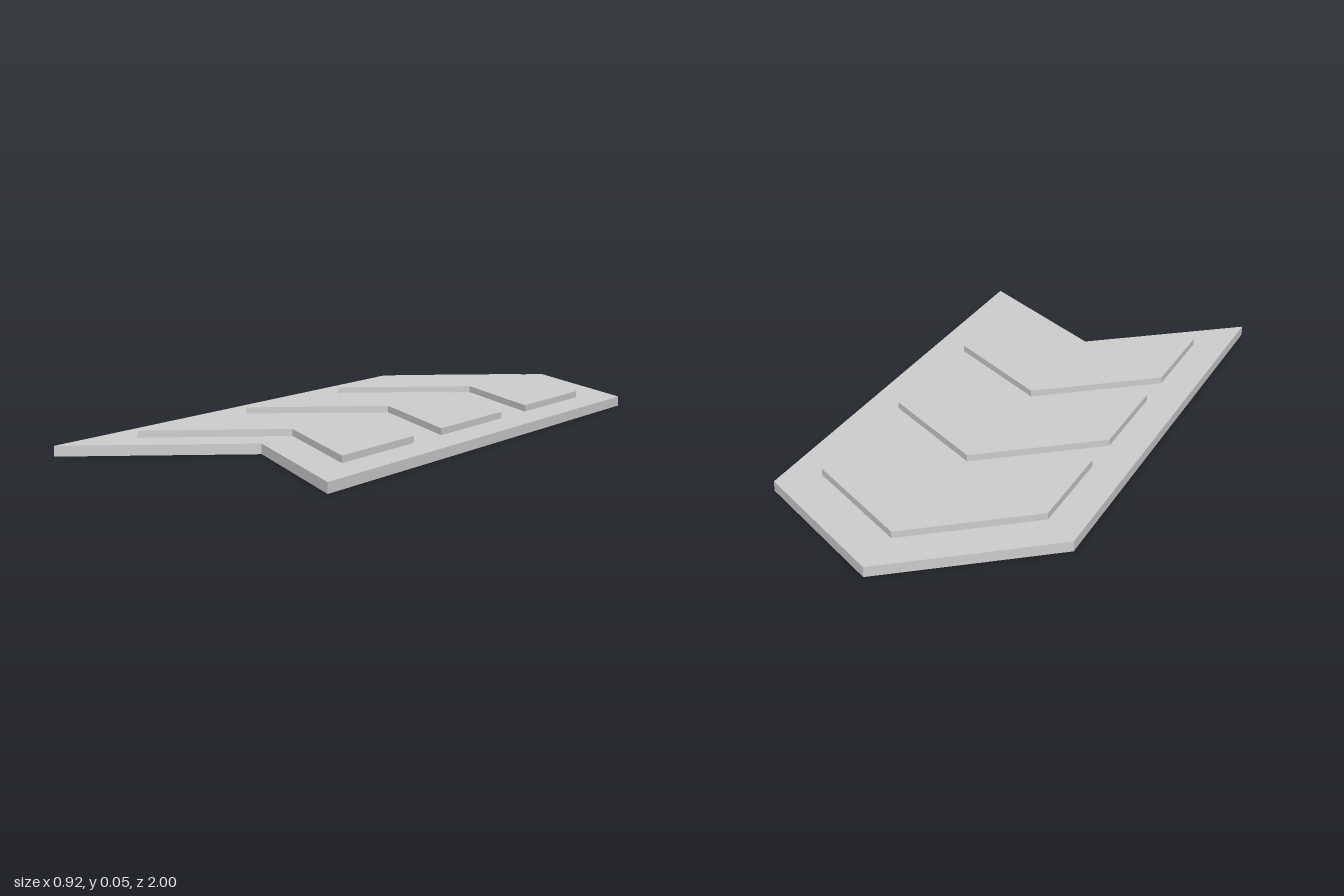
import * as THREE from 'three';

const material = new THREE.MeshStandardMaterial({ color: 0xcccccc, flatShading: true });

// Flat arrow slab pointing to -z: tip, shoulder, tail corners and tail notch along z
function chevron(name, halfWidth, tip, shoulder, tail, notch, height) {
  const outline = new THREE.Shape([
    [0, -tip], [-halfWidth, -shoulder], [-halfWidth, -tail],
    [0, -notch], [halfWidth, -tail], [halfWidth, -shoulder],
  ].map(([x, y]) => new THREE.Vector2(x, y)));
  const geometry = new THREE.ExtrudeGeometry(outline, { depth: height, bevelEnabled: false });
  geometry.rotateX(-Math.PI / 2); // shape y becomes -z, depth becomes y
  const mesh = new THREE.Mesh(geometry, material);
  mesh.name = name;
  return mesh;
}

export function createModel() {
  const group = new THREE.Group();
  group.name = 'arrowPad';

  // Base plate
  const baseHeight = 0.03;
  group.add(chevron('basePlate', 0.458, -1, -0.662, 1, 0.662, baseHeight));

  // Three raised chevrons, evenly spaced along the plate
  for (let i = 0; i < 3; i++) {
    const raised = chevron(`raisedChevron${i + 1}`, 0.349, -0.833, -0.574, -0.222, -0.483, 0.02);
    raised.position.set(0, baseHeight, i * 0.5);
    group.add(raised);
  }
  return group;
}
